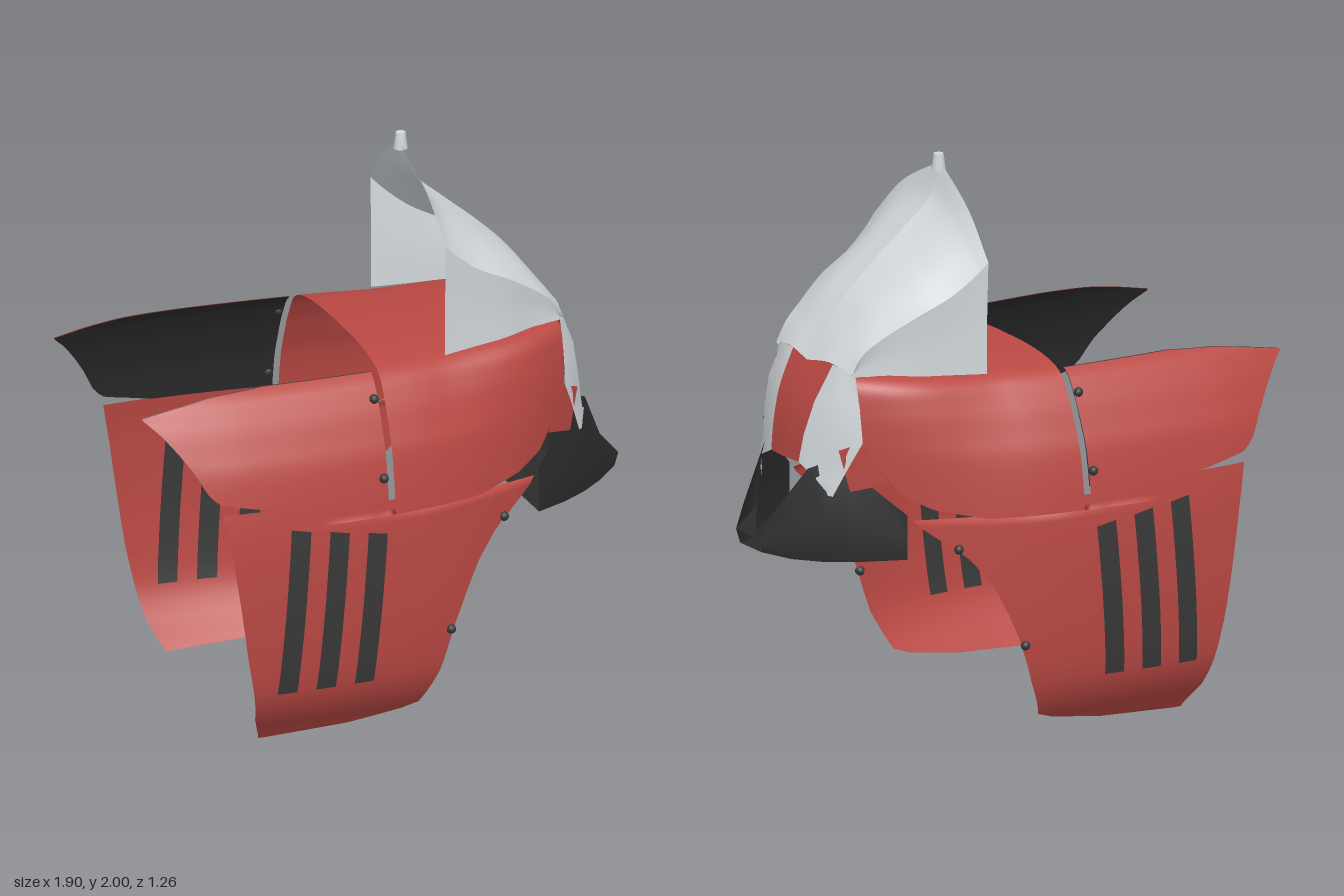
import * as THREE from 'three';

const mat = (name, color) => new THREE.MeshStandardMaterial({ name, color, side: THREE.DoubleSide });
const V = (p) => new THREE.Vector3(...p);

// Table lookups: straight, and smooth (Hermite)
function linear(t) {
  return (x) => {
    if (x <= t[0][0]) return t[0][1];
    for (let i = 1; i < t.length; i++) {
      const [a, b] = [t[i - 1], t[i]];
      if (x <= b[0]) return a[1] + (b[1] - a[1]) * (x - a[0]) / (b[0] - a[0]);
    }
    return t[t.length - 1][1];
  };
}
function smooth(t) {
  const n = t.length - 1;
  const slope = (i) => {
    const a = t[Math.max(i - 1, 0)], b = t[Math.min(i + 1, n)];
    return (b[1] - a[1]) / (b[0] - a[0]);
  };
  return (x) => {
    let i = 0;
    while (i < n - 1 && x > t[i + 1][0]) i++;
    const h = t[i + 1][0] - t[i][0], s = THREE.MathUtils.clamp((x - t[i][0]) / h, 0, 1);
    const s2 = s * s, s3 = s2 * s;
    return t[i][1] * (2 * s3 - 3 * s2 + 1) + slope(i) * h * (s3 - 2 * s2 + s)
      + t[i + 1][1] * (3 * s2 - 2 * s3) + slope(i + 1) * h * (s3 - s2);
  };
}

// Surface from rows of points
function grid(rows) {
  const g = new THREE.BufferGeometry(), idx = [], n = rows[0].length;
  g.setAttribute('position', new THREE.Float32BufferAttribute(rows.flat(2), 3));
  for (let i = 0; i < rows.length - 1; i++) for (let j = 0; j < n - 1; j++) {
    const a = i * n + j, b = a + n;
    idx.push(a, b, a + 1, b, b + 1, a + 1);
  }
  g.setIndex(idx);
  g.computeVertexNormals();
  return g;
}
// Same, rounded off with splines both ways
function loft(rows, nu = 16, nv = 10) {
  const spline = (pts, n) => new THREE.CatmullRomCurve3(pts.map(V)).getPoints(n).map((p) => p.toArray());
  const wide = rows.map((r) => spline(r, nv));
  const cols = wide[0].map((_, j) => spline(wide.map((r) => r[j]), nu));
  return grid(cols);
}
const range = (a, b, n) => Array.from({ length: n + 1 }, (_, i) => a + (b - a) * i / n);

// Shell: half-width along x times a cross-section profile
const width = smooth([[-0.95, 0.57], [-0.8, 0.6], [-0.6, 0.62], [-0.3, 0.615], [0, 0.585],
  [0.2, 0.54], [0.4, 0.46], [0.54, 0.385], [0.67, 0.295]]);
const list = (a) => smooth(a.map((v, i) => [i, v]));
const heightAt = list([0, 0.05, 0.1, 0.2, 0.35, 0.55, 0.8, 1.0, 1.1, 1.2, 1.285, 1.322, 1.33]);
const rearAt = list([0.74, 0.8, 0.87, 0.95, 0.985, 1, 0.99, 0.94, 0.88, 0.8, 0.68, 0.4, 0]);
const frontAt = list([0.74, 0.8, 0.87, 0.95, 0.985, 1, 1, 1, 0.99, 0.96, 0.88, 0.6, 0]);
const TOP = 12;
function paramAt(y) {
  let a = 0, b = TOP;
  for (let i = 0; i < 30; i++) {
    const m = (a + b) / 2;
    if (heightAt(m) < y) a = m; else b = m;
  }
  return a;
}
function shell(x, t, off = 0, side = 1) {
  const k = THREE.MathUtils.smoothstep(x, 0.15, 0.67);
  const p = THREE.MathUtils.lerp(rearAt(t), frontAt(t), k);
  return [x, heightAt(t) + 0.012 * k * (t / TOP), side * (width(x) * p + off)];
}
const shellY = (x, y, off) => shell(x, paramAt(y), off);

export function createModel() {
  const group = new THREE.Group();
  const red = mat('red shell', 0xb94843), white = mat('pale grey', 0xd2d7da);
  const black = mat('black', 0x2b2b2b), dark = mat('dark grey', 0x383838);
  const add = (name, geo, m) => {
    const mesh = new THREE.Mesh(geo, m);
    mesh.name = name;
    group.add(mesh);
  };
  const pair = (name, geo, m) => {
    add(name + 'Left', geo, m);
    const other = geo.clone().scale(1, 1, -1);
    other.computeVertexNormals();
    add(name + 'Right', other, m);
  };

  // Cap over the top, arching from side to side
  const capBottom = linear([[0.3, 0.816], [0.301, 0.82], [0.45, 0.85], [0.55, 0.9], [0.6, 0.97], [0.67, 1.09]]);
  add('cap', grid(range(-0.065, 0.67, 36).map((x) => {
    const t0 = paramAt(capBottom(x));
    return range(-1, 1, 56).map((v) => shell(x, TOP + (t0 - TOP) * Math.abs(v), 0, Math.sign(v)));
  })), red);

  // Rear wings: red outside, black lining inside
  const wingLow = linear([[-0.95, 1.225], [-0.9, 1.18], [-0.85, 1.12], [-0.8, 1.05], [-0.75, 0.96],
    [-0.71, 0.93], [-0.53, 0.895]]);
  const wingHigh = linear([[-0.95, 1.23], [-0.85, 1.25], [-0.7, 1.275], [-0.5, 1.287], [-0.09, 1.285]]);
  const wing = (off) => grid(range(-0.95, -0.09, 40).map((x) =>
    range(paramAt(wingLow(x)), paramAt(wingHigh(x)), 16).map((t) => shell(x, t, off))));
  pair('rearWing', wing(0), red);
  pair('rearWingLining', wing(-0.007), black);

  // Hanging side panels
  const rearEdge = linear([[0.01, -0.53], [0.1, -0.57], [0.35, -0.62], [0.75, -0.68], [0.9, -0.71]]);
  const frontEdge = linear([[0.005, -0.5], [0.02, -0.2], [0.05, 0], [0.07, 0.06], [0.2, 0.12], [0.36, 0.17],
    [0.48, 0.22], [0.58, 0.27], [0.68, 0.35], [0.73, 0.42], [0.79, 0.5], [0.815, 0.52],
    [0.816, -0.065], [0.87, -0.065], [0.871, -0.09], [0.895, -0.09]]);
  const levels = [0.005, 0.02, 0.035, 0.05, 0.07, ...range(0.1, 0.79, 28), 0.815, 0.816, 0.84, 0.87, 0.871, 0.895];
  pair('sidePanel', grid(levels.map((y) =>
    range(rearEdge(y), frontEdge(y), 30).map((x) => shellY(x, y)))), red);

  // Three slanted slots on each panel, inside and out
  for (const [x0, x1, y1] of [[-0.51, -0.465, 0.82], [-0.365, -0.32, 0.795], [-0.22, -0.175, 0.77]]) {
    for (const off of [0.01, -0.008]) {
      pair('slot', grid(range(0, 1, 18).map((s) => range(0, 1, 4).map((u) =>
        shellY(x0 + (x1 - x0) * s + 0.073 * u, 0.21 + (y1 - 0.21 - 0.015 * u) * s, off)))), dark);
    }
  }

  // Bolts
  for (const [x, y] of [[-0.105, 1.21], [-0.105, 0.95], [0.38, 0.71], [0.155, 0.35]]) {
    pair('bolt', new THREE.SphereGeometry(0.017, 12, 8).translate(...shellY(x, y, 0.003)), dark);
  }

  // Raised visor: ridge, middle and edge points, front to back
  const crest = [
    [[0.165, 1.97, 0], [0.185, 1.85, 0.22], [0.2, 1.7, 0.375]],
    [[0.21, 1.85, 0], [0.23, 1.78, 0.21], [0.24, 1.66, 0.365]],
    [[0.32, 1.75, 0], [0.33, 1.69, 0.2], [0.33, 1.59, 0.345]],
    [[0.43, 1.66, 0], [0.43, 1.62, 0.18], [0.45, 1.53, 0.32]],
    [[0.55, 1.55, 0], [0.55, 1.53, 0.15], [0.57, 1.455, 0.275]],
    [[0.64, 1.44, 0], [0.64, 1.43, 0.13], [0.64, 1.4, 0.255]],
    [[0.71, 1.335, 0], [0.7, 1.355, 0.13], [0.68, 1.335, 0.25]],
  ];
  pair('visorTop', loft(crest, 24, 10), white);
  pair('visorWall', loft(crest.map(([, , e]) => {
    const low = Math.min(e[1], 1.295 + 0.06 * (e[0] - 0.2));
    return [e, [e[0], (e[1] + low) / 2, e[2] - 0.008], [e[0], low, e[2] - 0.008]];
  }), 24, 6), white);
  add('visorTip', new THREE.CylinderGeometry(0.018, 0.026, 0.06, 8).translate(0.172, 1.97, 0).scale(1, 1, 1), white);

  // Brow strip down the middle of the face
  const brow = [[0.685, 1.345, 0.13], [0.75, 1.22, 0.115], [0.785, 1.1, 0.1], [0.8, 1.0, 0.09]];
  add('browStrip', loft(brow.map(([x, y, z]) => [[x, y, z], [x + 0.005, y, 0], [x, y, -z]]), 12, 6), red);

  // Pale face plates ending in a point
  const outer = [[0.668, 1.34, 0.25], [0.67, 1.22, 0.285], [0.67, 1.1, 0.305], [0.70, 1.03, 0.28],
    [0.73, 0.95, 0.25], [0.76, 0.87, 0.222]];
  const inner = [...brow, [0.785, 0.96, 0.18], [0.761, 0.87, 0.218]];
  const bulge = [0.012, 0.02, 0.02, 0.015, 0.008, 0];
  pair('facePlate', grid(outer.map((o, i) => {
    const n = inner[i];
    return [o, [(o[0] + n[0]) / 2 + bulge[i], (o[1] + n[1]) / 2 + bulge[i] * 0.4, (o[2] + n[2]) / 2 + bulge[i]], n];
  })), white);

  // Torn red points below the cheek
  pair('cheekPoint', grid([[[0.665, 1.1, 0.298], [0.59, 0.95, 0.345]], [[0.735, 1.07, 0.25], [0.7, 0.92, 0.27]]]), red);

  // Jaw guard: top, middle and bottom points from cheek to chin
  const jaw = [
    [[0.54, 0.84, 0.39], [0.54, 0.76, 0.39], [0.54, 0.68, 0.39]],
    [[0.64, 0.94, 0.31], [0.66, 0.8, 0.32], [0.67, 0.67, 0.3]],
    [[0.75, 1.02, 0.2], [0.78, 0.83, 0.23], [0.78, 0.665, 0.21]],
    [[0.8, 0.99, 0.15], [0.87, 0.8, 0.16], [0.86, 0.67, 0.14]],
    [[0.88, 0.82, 0.055], [0.95, 0.74, 0.08], [0.94, 0.69, 0.07]],
  ];
  pair('jawSide', grid(jaw), black);
  pair('jawChin', grid([jaw[4].slice(0, 2), [[0.92, 0.75, 0], [0.948, 0.735, 0]]]), black);
  add('jawFloor', grid(jaw.map(([, , [x, y, z]]) => [[x, y, z], [x, y, -z]])), black);
  return group;
}
